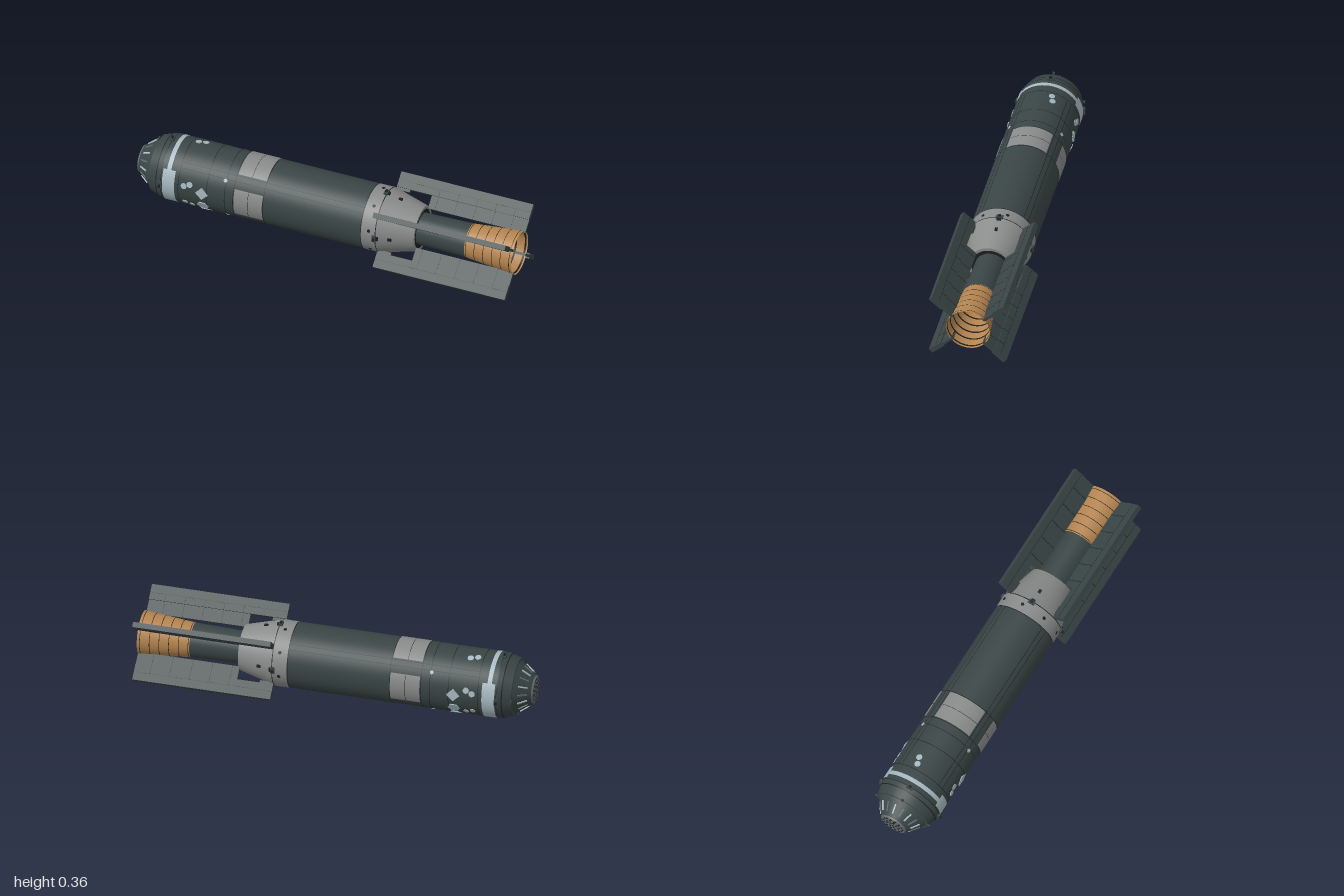
import * as THREE from 'three';

const mat = (name, color, side = THREE.FrontSide) => {
  const m = new THREE.MeshStandardMaterial({ color, side });
  m.name = name;
  return m;
};
const DEG = Math.PI / 180;
const CARDINAL = [0, 90, 180, 270];

export function createModel() {
  const dark = mat('dark hull', 0x3a4545);
  const black = mat('black seam', 0x1b2021);
  const grey = mat('grey panel', 0x8a8b8b);
  const pale = mat('pale blue grey', 0xa9bac2);
  const steel = mat('steel', 0x626a6b);
  const copper = mat('copper', 0xb68550, THREE.DoubleSide);

  const model = new THREE.Group();
  model.name = 'rocketStage';
  const craft = new THREE.Group(); // long axis runs along x
  craft.name = 'craft';
  craft.position.y = 0.182;
  model.add(craft);

  const add = (name, geo, m, parent = craft) => {
    const mesh = new THREE.Mesh(geo, m);
    mesh.name = name;
    parent.add(mesh);
    return mesh;
  };

  // Conical shell between two x stations; angles run from +z (0) up to +y (90)
  const shell = (name, x0, r0, x1, r1, m, a0 = 0, a1 = 360) => {
    const steps = Math.max(4, Math.ceil((a1 - a0) / 6));
    const g = new THREE.CylinderGeometry(r1, r0, x1 - x0, steps, 1, true, -a1 * DEG, (a1 - a0) * DEG);
    g.rotateZ(-Math.PI / 2).translate((x0 + x1) / 2, 0, 0);
    return add(name, g, m);
  };

  // Flat disc facing +x (dir 1) or -x (dir -1)
  const disc = (name, x, r, dir, m, inner = 0) => {
    const g = new THREE.RingGeometry(inner, r, 48);
    g.rotateY(dir * Math.PI / 2).translate(x, 0, 0);
    return add(name, g, m);
  };

  // Group whose local +y points outward at a given angle around the axis
  const spoke = (name, deg) => {
    const g = new THREE.Group();
    g.name = name;
    g.rotation.x = Math.PI / 2 - deg * DEG;
    craft.add(g);
    return g;
  };
  const box = (name, parent, m, x, y, z, w, h, d) => {
    const b = add(name, new THREE.BoxGeometry(w, h, d), m, parent);
    b.position.set(x, y, z);
    return b;
  };

  // Hull, skirt and tail cone
  const R = 0.164;
  shell('hull', -0.84, R, 0.225, R, dark);
  shell('tailBand', 0.225, R + 0.001, 0.3, R + 0.001, grey);
  shell('tailCone', 0.3, R + 0.001, 0.485, 0.115, grey);
  disc('tailConeRim', 0.485, 0.115, 1, grey, 0.1);
  disc('tailConeEnd', 0.482, 0.102, 1, black);
  shell('tailConeSeam', 0.298, R + 0.0018, 0.302, R + 0.0015, black);

  // Nose shoulders, cone and end face
  shell('noseShoulder', -0.865, 0.158, -0.84, R, dark);
  shell('noseShoulderSeam', -0.867, 0.159, -0.862, 0.1605, black);
  shell('noseSkirt', -0.91, 0.143, -0.865, 0.158, dark);
  disc('noseStep', -0.91, 0.143, -1, dark, 0.13);
  shell('noseCone', -0.992, 0.072, -0.91, 0.133, dark);
  shell('noseLip', -1, 0.068, -0.992, 0.072, steel);
  disc('noseFace', -0.998, 0.068, -1, steel);
  for (let i = 0; i < 16; i++) {
    const s = spoke('noseRib', i * 22.5 + 11);
    const rib = box('noseRibStrip', s, i % 2 ? steel : pale, -0.955, 0.102, 0, 0.05, 0.006, 0.007);
    rib.rotation.z = Math.atan2(0.061, 0.082);
  }
  [[0.055, 14], [0.035, 9], [0.016, 4]].forEach(([r, n]) => {
    for (let i = 0; i < n; i++) {
      const g = new THREE.CylinderGeometry(0.006, 0.006, 0.004, 8).rotateZ(Math.PI / 2);
      const a = (i / n) * Math.PI * 2;
      add('noseStud', g, black).position.set(-0.998, r * Math.sin(a), r * Math.cos(a));
    }
  });

  // Pale painted band, wider on both flanks
  shell('paleBand', -0.812, R + 0.001, -0.79, R + 0.001, pale);
  shell('paleFlankFront', -0.83, R + 0.0015, -0.765, R + 0.0015, pale, -66, 32);
  shell('paleFlankBack', -0.83, R + 0.0015, -0.765, R + 0.0015, pale, 148, 246);

  // Ring seams around the hull
  [-0.838, -0.745, -0.595, -0.5, -0.455, -0.297, 0.222].forEach(x =>
    shell('hullSeam', x - 0.0015, R + 0.0008, x + 0.0015, R + 0.0008, black));

  // Lengthwise seams along the tank
  for (let i = 0; i < 4; i++) {
    for (const off of [-5, 5]) {
      const a = 45 + i * 90 + off;
      shell('lengthSeam', -0.74, R + 0.0009, 0.222, R + 0.0009, black, a - 0.5, a + 0.5);
    }
  }

  // Four grey service panels
  CARDINAL.forEach(a => {
    const half = a % 180 ? 37 : 27;
    shell('servicePanel', -0.45, R + 0.002, -0.3, R + 0.002, grey, a - half, a + half);
    shell('servicePanelSeam', -0.377, R + 0.0026, -0.375, R + 0.0026, black, a - half, a + half);
  });

  // Small plates and ports: x, angle, radius, sides
  const port = (x, deg, r, sides, m = pale) => {
    const p = add('port', new THREE.CylinderGeometry(r, r, 0.005, sides), m, spoke('portMount', deg));
    p.position.set(x, R, 0);
    p.rotation.y = sides === 4 ? 0 : Math.PI / 6;
  };
  [[-0.62, 2, 0.034, 4], [-0.62, -28, 0.031, 6], [-0.62, -54, 0.031, 6],
    [-0.715, 9, 0.016, 10], [-0.685, 14, 0.016, 10], [-0.715, -30, 0.014, 10], [-0.68, -35, 0.014, 10],
    [-0.505, 37, 0.01, 10], [-0.505, -53, 0.01, 10]].forEach(([x, a, r, n]) => {
    port(x, a, r, n);
    port(x, 180 - a, r, n);
  });
  [[-0.715, 102, 0.016], [-0.68, 106, 0.016]].forEach(([x, a, r]) => port(x, a, r, 10));
  for (let i = 0; i < 8; i++) port(0.265, i * 45 + 12, 0.009, 8, black);

  // Cross-shaped lugs at the nose and the tail
  CARDINAL.forEach(a => {
    const s = spoke('lugMount', a);
    for (const x of [-0.84, 0.295]) {
      box('lugBase', s, dark, x, 0.167, 0, 0.02, 0.014, 0.034);
      box('lugPost', s, black, x, 0.172, 0, 0.01, 0.02, 0.014);
    }
    box('noseLug', s, dark, -0.91, 0.146, 0, 0.007, 0.024, 0.012);
    box('tailFitting', s, black, 0.3, 0.163, 0, 0.03, 0.012, 0.02);
    box('coneFitting', s, black, 0.37, 0.148, 0, 0.02, 0.008, 0.014);
  });

  // Belly box
  const belly = spoke('bellyMount', 270);
  box('bellyBox', belly, steel, -0.39, 0.166, 0, 0.1, 0.012, 0.056);

  // Nozzle neck, bell with rings, and inner throat
  shell('nozzleNeck', 0.48, 0.08, 0.74, 0.086, dark);
  const bellR = x => 0.086 + (x - 0.74) / 0.26 * 0.025;
  shell('nozzleBell', 0.74, bellR(0.74), 1, bellR(1), copper);
  shell('nozzleInner', 0.7, 0.076, 0.995, bellR(0.995) - 0.003, copper);
  for (let i = 0; i < 6; i++) {
    const x = 0.745 + i * 0.048;
    shell('bellRing', x, bellR(x) + 0.0008, x + 0.003, bellR(x + 0.003) + 0.0008, black);
    const ri = 0.076 + (x - 0.7) / 0.295 * 0.0315 - 0.0012;
    const inner = shell('innerRing', x, ri, x + 0.009, ri + 0.001, black);
    inner.geometry.index.array.reverse(); // faces the axis
  }
  disc('throatRing', 0.706, 0.077, 1, copper, 0.07);
  disc('throatPlug', 0.705, 0.072, 1, dark);

  // Four diagonal fins: thick outer blade, thin inner web, seam plates
  [41, 139, 221, 319].forEach(a => {
    const fin = spoke('fin', a);
    box('finBlade', fin, dark, 0.65, 0.209, 0, 0.7, 0.078, 0.026);
    box('finWeb', fin, dark, 0.742, 0.137, 0, 0.516, 0.07, 0.013);
    box('finRoot', fin, dark, 0.335, 0.166, 0, 0.07, 0.02, 0.013);
    for (let i = 0; i < 5; i++) {
      box('finSeam', fin, black, 0.52 + i * 0.1, 0.188, 0, 0.003, 0.035, 0.0268);
      box('finWebSeam', fin, black, 0.52 + i * 0.1, 0.137, 0, 0.003, 0.07, 0.0138);
    }
    box('finEdgeSeam', fin, black, 0.65, 0.206, 0, 0.69, 0.002, 0.0266);
  });

  return model;
}
